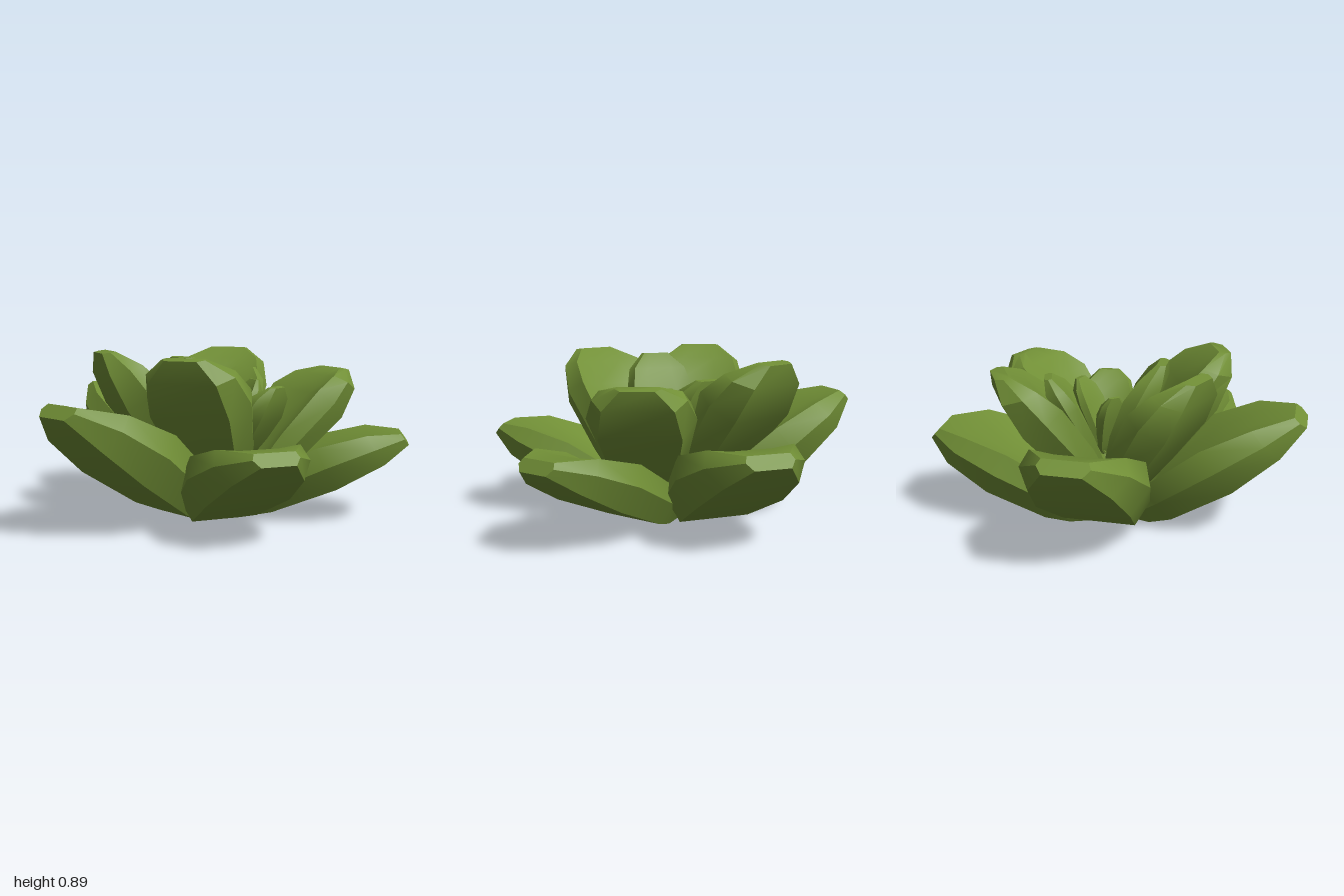
import * as THREE from 'three';
import { toCreasedNormals } from 'three/addons/utils/BufferGeometryUtils.js';

// Stations along a leaf: half width, rim height and inner-face height
const WIDTH = [0.3, 0.62, 0.82, 1, 0.84, 0.4];
const RIM = [0.06, 0.17, 0.23, 0.27, 0.2, 0.08];
const FACE = [0.05, 0.14, 0.19, 0.23, 0.185, 0.08];
// Underside curves, [outward, up], both from 0 to 1
const SPREAD = [[0, 0], [0.2, 0.02], [0.33, 0.11], [0.65, 0.45], [0.88, 0.77], [1, 1]];
const UPRIGHT = [[0, 0], [0.25, 0.13], [0.48, 0.33], [0.82, 0.64], [0.97, 0.86], [1, 1]];

// A thick leaf running along +z, lofted through eight-sided sections
function leafGeometry(length, rise, halfWidth, curve, depth) {
  const points = [], index = [], n = 8;
  curve.forEach(([r, h], i) => {
    const a = curve[Math.max(i - 1, 0)], b = curve[Math.min(i + 1, curve.length - 1)];
    const slope = Math.atan2((b[1] - a[1]) * rise, (b[0] - a[0]) * length);
    const w = WIDTH[i] * halfWidth, rim = RIM[i] * depth, face = FACE[i] * depth;
    const section = [
      [-0.75 * w, 0], [0.75 * w, 0], [w, 0.55 * rim], [0.88 * w, rim],
      [0.4 * w, face], [-0.4 * w, face], [-0.88 * w, rim], [-w, 0.55 * rim],
    ];
    for (const [u, v] of section) {
      points.push(u, h * rise + v * Math.cos(slope), r * length - v * Math.sin(slope));
    }
  });
  const last = (curve.length - 1) * n;
  for (let i = 0; i < curve.length - 1; i++) {
    for (let j = 0; j < n; j++) {
      const a = i * n + j, b = i * n + (j + 1) % n;
      index.push(a, b, b + n, a, b + n, a + n);
    }
  }
  for (let j = 1; j < n - 1; j++) {
    index.push(last, last + j, last + j + 1, 0, j + 1, j);
  }
  const g = new THREE.BufferGeometry();
  g.setAttribute('position', new THREE.Float32BufferAttribute(points, 3));
  g.setIndex(index);
  return toCreasedNormals(g, 0.6);
}

// Each leaf: base x, base z, tip x, tip z, base height, tip height, half width
const TIERS = [
  { name: 'outerLeaf', curve: SPREAD, leaves: [
    [0.01, 0, 0.03, 1.0, 0, 0.61, 0.33],
    [0.02, -0.04, -0.96, -0.02, 0, 0.61, 0.32],
    [-0.07, -0.04, -0.17, -1.0, 0, 0.44, 0.31],
    [0.04, 0.04, 0.92, 0.41, 0, 0.43, 0.29],
    [0.03, -0.03, 0.86, -0.67, 0, 0.41, 0.28],
  ] },
  { name: 'middleLeaf', curve: UPRIGHT, leaves: [
    [0.17, -0.04, 0.38, -0.7, 0.08, 0.77, 0.27],
    [0.16, 0.0, 0.39, 0.52, 0.08, 0.87, 0.28],
    [-0.09, 0.0, -0.28, 0.5, 0.08, 0.88, 0.27],
    [-0.06, -0.03, -0.37, -0.57, 0.08, 0.86, 0.28],
  ] },
  { name: 'innerLeaf', curve: UPRIGHT, leaves: [
    [0.06, -0.06, 0.07, 0.25, 0.18, 0.86, 0.19],
    [0.03, -0.1, -0.06, -0.4, 0.22, 0.77, 0.16],
    [0.12, -0.1, 0.41, -0.16, 0.22, 0.7, 0.15],
  ] },
  { name: 'heartLeaf', curve: UPRIGHT, leaves: [
    [0.09, -0.1, 0.14, -0.27, 0.3, 0.72, 0.1],
    [0.08, -0.1, 0.0, -0.02, 0.3, 0.66, 0.08],
  ] },
];

export function createModel() {
  const plant = new THREE.Group();
  plant.name = 'succulent';
  const green = new THREE.MeshStandardMaterial({ color: 0x718f36 });
  for (const { name, curve, leaves } of TIERS) {
    leaves.forEach(([x, z, tipX, tipZ, base, top, halfWidth], i) => {
      const dx = tipX - x, dz = tipZ - z;
      const geometry = leafGeometry(Math.hypot(dx, dz), top - base, halfWidth, curve, halfWidth / 0.31);
      const leaf = new THREE.Mesh(geometry, green);
      leaf.name = name + (i + 1);
      leaf.position.set(x, base, z);
      leaf.rotation.y = Math.atan2(dx, dz);
      plant.add(leaf);
    });
  }
  return plant;
}
